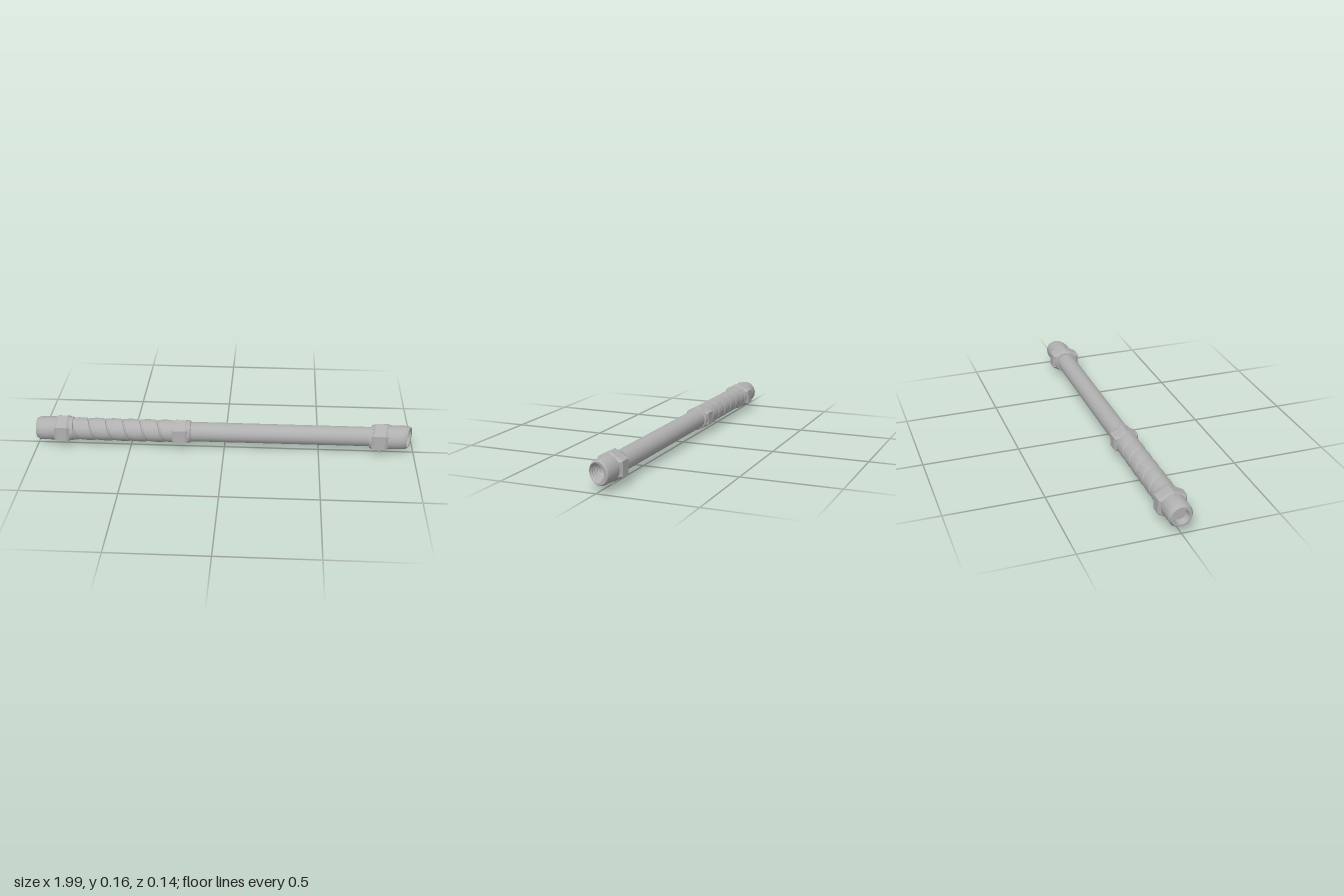
import * as THREE from 'three';
import { toCreasedNormals } from 'three/addons/utils/BufferGeometryUtils.js';

const AXIS_Y = 0.087;
const SLANT = 0.36;

export function createModel() {
  const group = new THREE.Group();
  const metal = new THREE.MeshStandardMaterial({ color: 0xb0b0b0 });

  const add = (name, geometry, crease = 0.5) => {
    const mesh = new THREE.Mesh(toCreasedNormals(geometry, crease), metal);
    mesh.name = name;
    group.add(mesh);
    return mesh;
  };

  // Turned part along the x axis; profile is a list of [x, radius]
  const turned = (profile, sides) => {
    const points = profile.map(([x, r]) => new THREE.Vector2(r, x));
    const g = new THREE.LatheGeometry(points, sides, Math.PI / 6);
    return g.rotateZ(-Math.PI / 2).translate(0, AXIS_Y, 0);
  };

  // Chamfered hexagonal nut with a corner upwards
  const hexNut = (x0, x1, r) => turned([
    [x0, 0.03], [x0, r * 0.86], [x0 + 0.014, r],
    [x1 - 0.014, r], [x1, r * 0.86], [x1, 0.03],
  ], 6).scale(1, 1, 1.1);

  // Lean the muzzle parts so that they face partly to the front
  const slant = (g, k = SLANT) => {
    const p = g.attributes.position;
    for (let i = 0; i < p.count; i++) p.setX(i, p.getX(i) - k * p.getZ(i));
    return g;
  };

  // End cap with a shallow socket
  add('endCap', turned([
    [-0.965, 0], [-0.965, 0.034], [-1, 0.04], [-1, 0.052],
    [-0.982, 0.062], [-0.9, 0.063], [-0.88, 0.06],
  ], 14));
  add('endNut', hexNut(-0.9, -0.82, 0.076));
  add('endNutWasher', turned([[-0.83, 0.05], [-0.825, 0.065], [-0.805, 0.062], [-0.8, 0.05]], 18));

  // Spiral grip wrap: each turn is a raised band ending in a groove
  const wrapStart = -0.815, wrapEnd = -0.265, pitch = 0.092, around = 32;
  const band = [[0, 0.052], [0.07, 0.057], [0.5, 0.06], [0.93, 0.059], [0.97, 0.052]];
  const positions = [], index = [];
  let rows = 0;
  for (let turn = -1; turn < 7; turn++) {
    for (const [f, r] of band) {
      for (let j = 0; j <= around; j++) {
        const a = (j / around) * Math.PI * 2;
        const x = wrapStart + (turn + f + j / around) * pitch;
        positions.push(
          THREE.MathUtils.clamp(x, wrapStart, wrapEnd),
          AXIS_Y + r * Math.cos(a), r * Math.sin(a));
      }
      rows++;
    }
  }
  for (let i = 0; i < rows - 1; i++) {
    for (let j = 0; j < around; j++) {
      const a = i * (around + 1) + j, b = a + around + 1;
      index.push(a, a + 1, b, b, a + 1, b + 1);
    }
  }
  const wrap = new THREE.BufferGeometry();
  wrap.setAttribute('position', new THREE.Float32BufferAttribute(positions, 3));
  wrap.setIndex(index);
  add('gripWrap', wrap, 0.6);

  // Collar between grip and rod
  add('collarNut', hexNut(-0.275, -0.19, 0.068));
  add('collarRing', turned([[-0.2, 0.05], [-0.2, 0.061], [-0.18, 0.06], [-0.175, 0.05]], 18));

  // Long plain rod
  add('rod', turned([[-0.82, 0.05], [-0.2, 0.052], [0.82, 0.051]], 20));

  // Slanted muzzle nut with a chamfered washer and small set screw
  add('muzzleNut', slant(hexNut(0.785, 0.87, 0.076), 0.2));
  add('muzzleWasher', slant(turned([
    [0.772, 0.048], [0.772, 0.06], [0.788, 0.066], [0.79, 0.05],
  ], 18), 0.2));
  add('setScrew', new THREE.CylinderGeometry(0.017, 0.013, 0.025, 10).translate(0.825, 0.0125, 0.004));

  // Hollow muzzle: outer wall, lip, ridged bore and floor
  const shell = [[0.84, 0.05], [0.84, 0.063], [0.95, 0.062], [0.968, 0.059], [0.975, 0.054], [0.974, 0.046]];
  for (let i = 0; i < 4; i++) {
    const x = 0.966 - i * 0.018;
    shell.push([x, 0.044 - i * 0.003], [x - 0.009, 0.038 - i * 0.003]);
  }
  shell.push([0.885, 0.026], [0.885, 0]);
  const muzzle = turned(shell, 24);
  const p = muzzle.attributes.position;
  for (let i = 0; i < p.count; i++) {
    // The bore sits slightly towards the front
    const r = Math.hypot(p.getY(i) - AXIS_Y, p.getZ(i));
    if (r < 0.048) p.setZ(i, p.getZ(i) + 0.01);
  }
  add('muzzle', slant(muzzle));

  return group;
}
